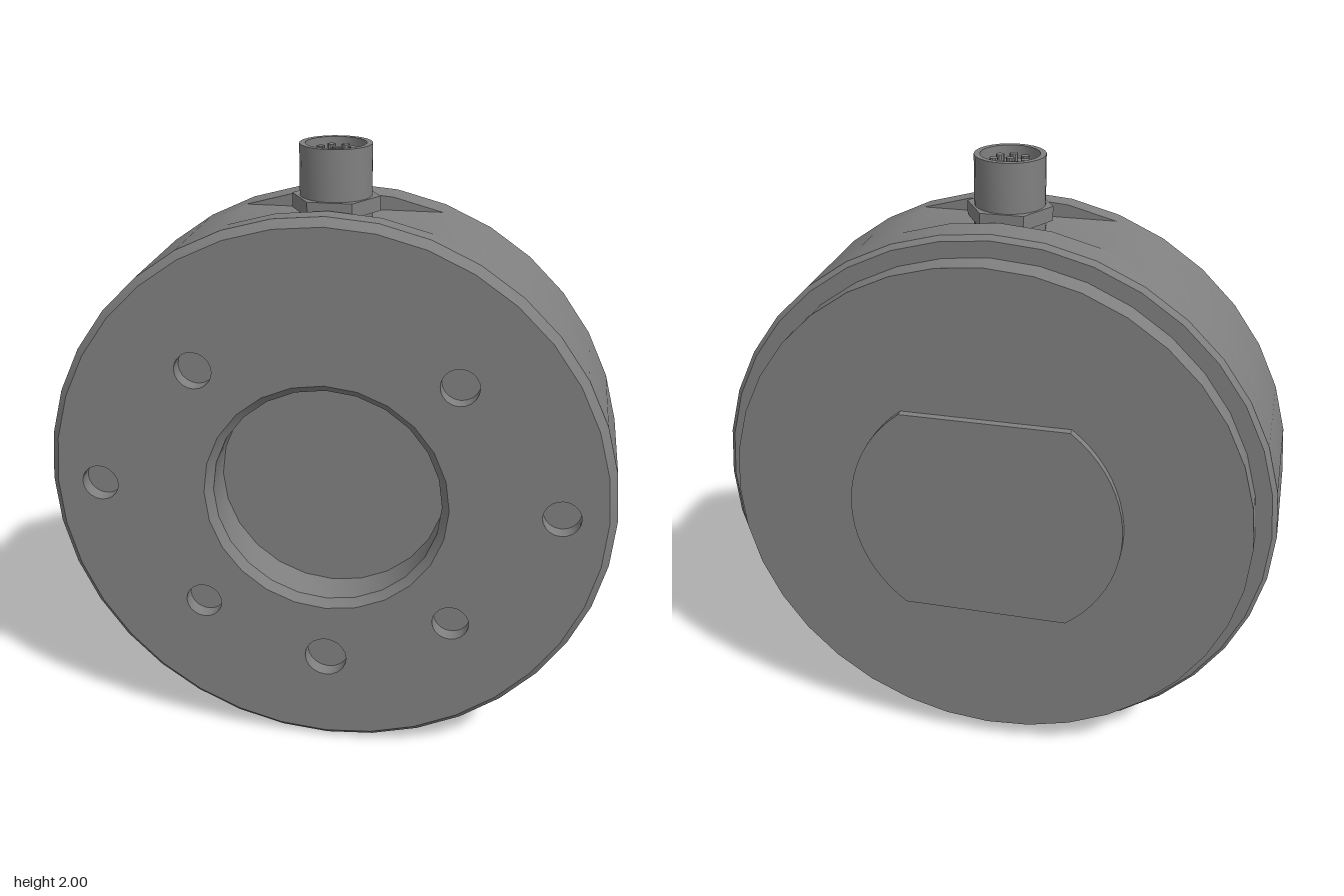
import * as THREE from 'three';
import { toCreasedNormals } from 'three/addons/utils/BufferGeometryUtils.js';

const CY = 0.913, R = 0.912, SEG = 36;

export function createModel() {
  const model = new THREE.Group();
  model.name = 'roundSensor';
  const metal = new THREE.MeshStandardMaterial({ color: 0x808080 });
  metal.name = 'grey metal';

  const add = (parent, name, geometry, x = 0, y = 0, z = 0) => {
    const mesh = new THREE.Mesh(toCreasedNormals(geometry, 0.5), metal);
    mesh.name = name;
    mesh.position.set(x, y, z);
    parent.add(mesh);
    return mesh;
  };
  const lathe = (pts, seg = SEG) =>
    new THREE.LatheGeometry(pts.map(p => new THREE.Vector2(...p)), seg);
  // Turned part with its axis along z: points are [radius, z]
  const latheZ = (pts, seg) => lathe(pts, seg).rotateX(Math.PI / 2);
  const ring = (r, n = SEG, x = 0, y = 0) => Array.from({ length: n }, (_, i) => {
    const a = Math.PI / 2 + (i / n) * Math.PI * 2;
    return new THREE.Vector2(x + r * Math.cos(a), y + r * Math.sin(a));
  });

  // Everything in this group is centred on the disc axis
  const body = new THREE.Group();
  body.name = 'body';
  body.position.y = CY;
  model.add(body);

  // Housing: chamfered front and back rims around a flat-topped middle
  add(body, 'frontRim', latheZ([[0.4, 0.2], [R, 0.2], [R, 0.265], [R - 0.025, 0.29]]));
  add(body, 'backRim', latheZ([[0, -0.18], [R - 0.015, -0.18], [R, -0.165], [R, -0.06], [0, -0.06]]));
  const flatTop = ring(R).filter(p => p.y < 0.87);
  const first = flatTop.findIndex(p => p.x < 0);
  const middle = new THREE.Shape(flatTop.slice(first).concat(flatTop.slice(0, first)));
  middle.holes.push(new THREE.Path(ring(0.39).reverse()));
  add(body, 'middleHousing', new THREE.ExtrudeGeometry(middle, { depth: 0.26, bevelEnabled: false }), 0, 0, -0.06);

  // Front face with bore and bolt holes
  const holes = [[0, -0.585, 0.07]];
  for (const s of [-1, 1]) holes.push([s * 0.743, 0.005, 0.06], [s * 0.413, 0.417, 0.06], [s * 0.413, -0.408, 0.06]);
  const face = new THREE.Shape(ring(R - 0.025));
  face.holes.push(new THREE.Path(ring(0.395, 24).reverse()));
  for (const [x, y, r] of holes) face.holes.push(new THREE.Path(ring(r, 20, x, y).reverse()));
  add(body, 'frontFace', new THREE.ShapeGeometry(face), 0, 0, 0.29);
  add(body, 'centreBore', latheZ([[0.395, 0.29], [0.37, 0.265], [0.37, 0.14], [0, 0.14]], 24));
  for (const [x, y, r] of holes)
    add(body, 'boltHole', latheZ([[r, 0], [r, -0.05], [0, -0.05]], 20), x, y, 0.29);

  // Back plate and raised pad with two flats
  add(body, 'backPlate', latheZ([[0, -0.265], [0.845, -0.265], [0.845, -0.175]]));
  const a = Math.asin(0.353 / 0.445);
  const pad = new THREE.Shape();
  pad.absarc(0, 0, 0.445, -a, a, false);
  pad.absarc(0, 0, 0.445, Math.PI - a, Math.PI + a, false);
  pad.closePath();
  add(body, 'backPad', new THREE.ExtrudeGeometry(pad, { depth: 0.03, bevelEnabled: false, curveSegments: 10 }), 0, 0, -0.29);

  // Round plug socket on the top flat
  const connector = new THREE.Group();
  connector.name = 'connector';
  connector.position.z = 0.072;
  model.add(connector);
  add(connector, 'collar', new THREE.CylinderGeometry(0.112, 0.112, 0.06, 24), 0, 1.785, 0);
  const nut = new THREE.CylinderGeometry(0.135, 0.135, 0.045, 6).rotateY(Math.PI / 6);
  add(connector, 'hexNut', nut, 0, 1.823, 0);
  add(connector, 'barrel', lathe([[0.11, 1.8], [0.11, 2], [0.092, 2], [0.092, 1.96], [0, 1.96]], 24));
  for (let i = 0; i < 8; i++) {
    const t = (i / 7) * Math.PI * 2, r = i < 7 ? 0.05 : 0;
    add(connector, 'pin', new THREE.CylinderGeometry(0.013, 0.013, 0.03, 10), r * Math.sin(t), 1.972, r * Math.cos(t));
  }
  return model;
}
